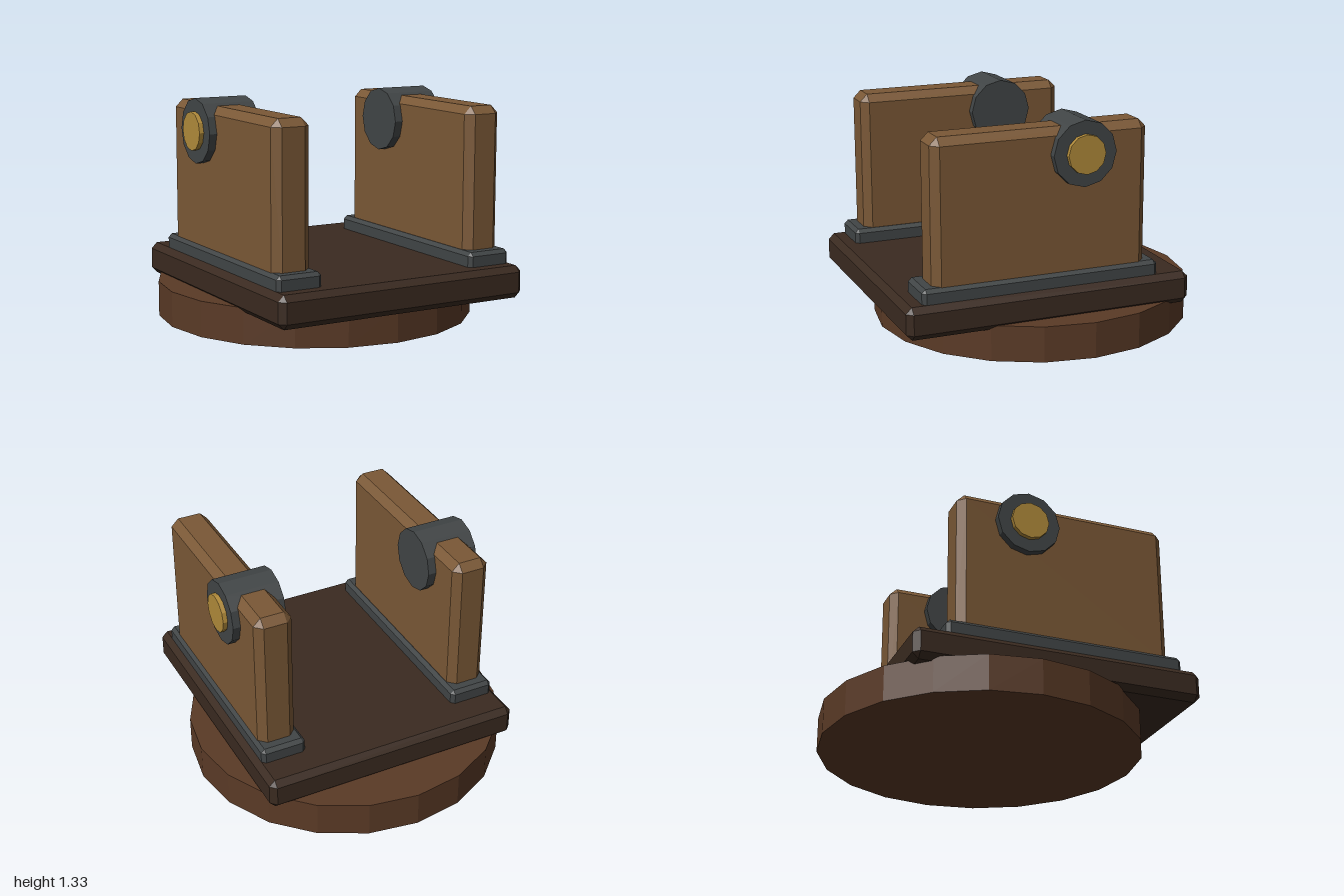
import * as THREE from 'three';
import { ConvexGeometry } from 'three/addons/geometries/ConvexGeometry.js';

const material = (color) => new THREE.MeshStandardMaterial({ color, flatShading: true });

// Box between two corners with every edge cut by a chamfer c
function chamferBox(min, max, c) {
  const half = max.map((v, i) => (v - min[i]) / 2);
  const points = [];
  for (const sx of [-1, 1]) for (const sy of [-1, 1]) for (const sz of [-1, 1]) {
    for (let axis = 0; axis < 3; axis++) {
      const p = half.map((h, i) => (i === axis ? h : h - c));
      points.push(new THREE.Vector3(p[0] * sx, p[1] * sy, p[2] * sz));
    }
  }
  const geometry = new ConvexGeometry(points);
  geometry.translate(...max.map((v, i) => (v + min[i]) / 2));
  return geometry;
}

// Twelve-sided cylinder lying along x
function crossPin(radius, x0, x1) {
  const geometry = new THREE.CylinderGeometry(radius, radius, x1 - x0, 12);
  geometry.rotateZ(Math.PI / 2);
  geometry.translate((x0 + x1) / 2, 1.14, -0.05);
  return geometry;
}

export function createModel() {
  const model = new THREE.Group();
  model.name = 'swivelMount';
  const paint = {
    turntable: material(0x5a3a26),
    darkWood: material(0x3a2a20),
    wood: material(0x7a5836),
    iron: material(0x414546),
    brass: material(0xb08a3a),
  };
  const add = (parent, name, geometry, mat) => {
    const mesh = new THREE.Mesh(geometry, mat);
    mesh.name = name;
    parent.add(mesh);
  };

  // Round turntable under the bed
  const disk = new THREE.CylinderGeometry(0.95, 0.95, 0.21, 20);
  disk.translate(0, 0.105, -0.05);
  add(model, 'turntable', disk, paint.turntable);

  // Bed plate
  add(model, 'bedPlate', chamferBox([-0.795, 0.185, -0.725], [0.795, 0.375, 1], 0.035), paint.darkWood);

  // Matching supports on either side
  for (const [side, name] of [[1, 'left'], [-1, 'right']]) {
    const support = new THREE.Group();
    support.name = name + 'Support';
    const span = (a, b) => (side > 0 ? [a, b] : [-b, -a]);
    const box = (x0, x1, y0, y1, z0, z1, c) => {
      const [a, b] = span(x0, x1);
      return chamferBox([a, y0, z0], [b, y1, z1], c);
    };
    add(support, name + 'Rail', box(0.485, 0.76, 0.34, 0.46, -0.53, 0.9, 0.022), paint.iron);
    add(support, name + 'Cheek', box(0.51, 0.74, 0.39, 1.29, -0.46, 0.83, 0.045), paint.wood);
    add(support, name + 'Bearing', crossPin(0.19, ...span(0.46, 0.785)), paint.iron);
    add(support, name + 'PinCap', crossPin(0.113, ...span(0.7, 0.812)), paint.brass);
    model.add(support);
  }
  return model;
}
